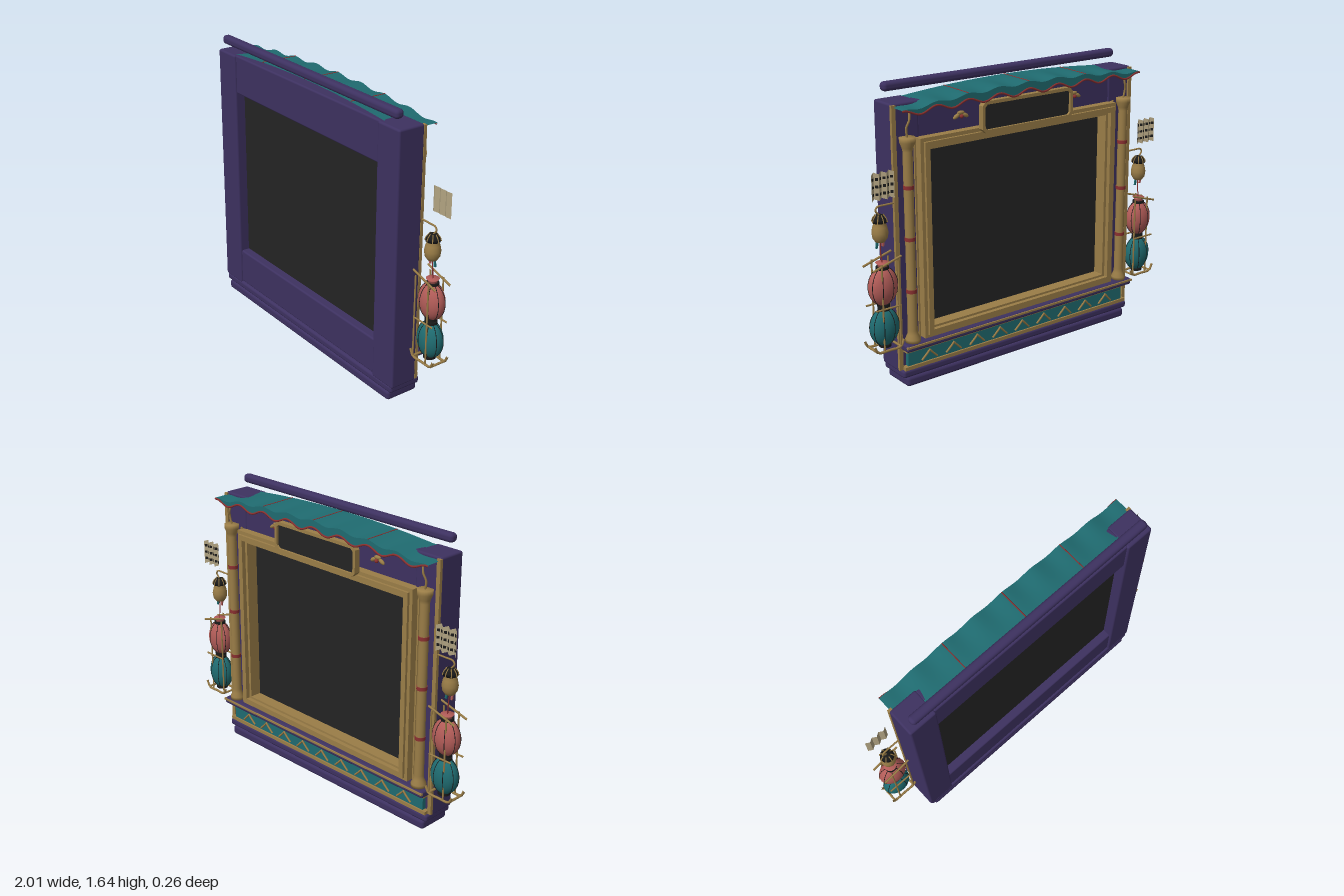
import * as THREE from 'three';
import { RoundedBoxGeometry } from 'three/addons/geometries/RoundedBoxGeometry.js';

const mat = (name, color, side = THREE.FrontSide) => {
  const m = new THREE.MeshStandardMaterial({ color, side });
  m.name = name;
  return m;
};

export function createModel() {
  const purple = mat('purple lacquer', 0x3d3160);
  const gold = mat('old gold', 0x9a7d47);
  const teal = mat('teal', 0x1f6b70, THREE.DoubleSide);
  const rose = mat('rose', 0xb25c58);
  const crimson = mat('crimson trim', 0x8a3030);
  const black = mat('black', 0x1a1a1a);
  const glass = mat('dark glass', 0x242424);
  const paperMat = mat('paper', 0xb3a583, THREE.DoubleSide);

  const root = new THREE.Group();
  root.name = 'festivalScreen';
  const V = (x, y, z) => new THREE.Vector3(x, y, z);

  const add = (name, geo, m, x = 0, y = 0, z = 0, parent = root) => {
    const mesh = new THREE.Mesh(geo, m);
    mesh.name = name;
    mesh.position.set(x, y, z);
    parent.add(mesh);
    return mesh;
  };
  // box given by its limits, with rounded edges when r > 0
  const box = (name, m, x0, x1, y0, y1, z0, z1, r = 0, parent = root) => {
    const s = [x1 - x0, y1 - y0, z1 - z0];
    const geo = r ? new RoundedBoxGeometry(...s, 3, r) : new THREE.BoxGeometry(...s);
    return add(name, geo, m, (x0 + x1) / 2, (y0 + y1) / 2, (z0 + z1) / 2, parent);
  };
  // smooth or straight rod through points
  const rod = (name, m, pts, r, parent = root, segs = 12) =>
    add(name, new THREE.TubeGeometry(new THREE.CatmullRomCurve3(pts), segs, r, 6), m, 0, 0, 0, parent);
  const lathe = (name, m, pts, x, y, z, parent = root) =>
    add(name, new THREE.LatheGeometry(pts.map(p => new THREE.Vector2(...p)), 20), m, x, y, z, parent);
  // rectangular frame with an open middle, extruded from z0 to z1
  const frame = (name, m, w, y0, y1, t, z0, z1, c = 0) => {
    const path = (P, a, b0, b1, k) => {
      P.moveTo(-a + k, b0); P.lineTo(a - k, b0); P.lineTo(a, b0 + k); P.lineTo(a, b1 - k);
      P.lineTo(a - k, b1); P.lineTo(-a + k, b1); P.lineTo(-a, b1 - k); P.lineTo(-a, b0 + k);
      P.closePath();
      return P;
    };
    const s = path(new THREE.Shape(), w, y0, y1, c + 0.001);
    s.holes.push(path(new THREE.Path(), w - t, y0 + t, y1 - t, c * 0.6 + 0.001));
    return add(name, new THREE.ExtrudeGeometry(s, { depth: z1 - z0, bevelEnabled: false }), m, 0, 0, z0);
  };

  // cabinet
  for (const s of [-1, 1])
    add('sideColumn', new RoundedBoxGeometry(0.17, 1.466, 0.162, 3, 0.012), purple, s * 0.736, 0.823, 0.045);
  box('topRail', purple, -0.66, 0.66, 1.327, 1.555, -0.03, 0.115, 0.01);
  box('bottomRail', purple, -0.66, 0.66, 0.1, 0.312, -0.03, 0.115, 0.01);
  box('screen', glass, -0.66, 0.66, 0.28, 1.34, 0.0, 0.065);
  box('upperPlinth', purple, -0.812, 0.812, 0.055, 0.1, -0.072, 0.126, 0.015);
  box('lowerPlinth', purple, -0.79, 0.79, 0, 0.057, -0.074, 0.126, 0.018);
  box('topBar', purple, -0.79, 0.79, 1.595, 1.645, 0.068, 0.12, 0.02);

  // stepped gold frame around the screen
  frame('outerScreenFrame', gold, 0.675, 0.255, 1.365, 0.035, -0.08, -0.025);
  frame('middleScreenFrame', gold, 0.655, 0.275, 1.345, 0.03, -0.095, -0.025);
  frame('innerScreenFrame', gold, 0.63, 0.295, 1.32, 0.022, -0.07, 0.0);

  // name board, left blank
  frame('boardRim', gold, 0.31, 1.34, 1.512, 0.018, -0.122, -0.088, 0.022);
  box('boardPanel', glass, -0.297, 0.297, 1.353, 1.5, -0.108, -0.095);
  for (const s of [-1, 1]) box('boardBracket', gold, s * 0.2 - 0.015, s * 0.2 + 0.015, 1.37, 1.4, -0.096, -0.03);

  // shelf and teal apron with gold chevrons
  box('shelf', purple, -0.81, 0.81, 0.22, 0.26, -0.112, -0.03, 0.012);
  box('shelfTrim', gold, -0.812, 0.812, 0.243, 0.254, -0.118, -0.105);
  box('apron', teal, -0.775, 0.775, 0.115, 0.215, -0.06, -0.03);
  box('apronUpperTrim', gold, -0.79, 0.79, 0.2, 0.212, -0.072, -0.03);
  box('apronLowerTrim', gold, -0.8, 0.8, 0.098, 0.118, -0.07, -0.03);
  for (let i = 0; i < 9; i++) {
    const x = (i - 4) * 0.16;
    rod('chevron', gold, [V(x - 0.05, 0.13, -0.063), V(x - 0.01, 0.17, -0.066), V(x, 0.182, -0.066),
      V(x + 0.01, 0.17, -0.066), V(x + 0.05, 0.13, -0.063)], 0.006);
  }

  // awning: arched sheet that ripples towards its hanging edge
  const ripple = x => Math.cos(x * Math.PI * 2 / 0.2);
  const roofY = (x, z) => {
    const t = (0.1 - z) / 0.225;
    return 1.588 - 0.045 * (x / 0.8) ** 2 - 0.012 * t + 0.008 * t * ripple(x);
  };
  const hemY = x => 1.53 - 0.012 * (x / 0.8) ** 2 + 0.015 * ripple(x);
  const sheet = new THREE.PlaneGeometry(1.62, 0.225, 96, 8).rotateX(-Math.PI / 2).translate(0, 0, -0.0125);
  const sp = sheet.attributes.position;
  for (let i = 0; i < sp.count; i++) sp.setY(i, roofY(sp.getX(i), sp.getZ(i)));
  sheet.computeVertexNormals();
  add('awningSheet', sheet, teal);
  const valance = new THREE.PlaneGeometry(1.62, 1, 96, 1);
  const vp = valance.attributes.position;
  for (let i = 0; i < vp.count; i++) {
    const x = vp.getX(i);
    vp.setXYZ(i, x, vp.getY(i) > 0 ? roofY(x, -0.125) : hemY(x), -0.125);
  }
  valance.computeVertexNormals();
  add('awningValance', valance, teal);
  const hem = [];
  for (let i = 0; i <= 80; i++) hem.push(V(-0.81 + i * 0.02025, hemY(-0.81 + i * 0.02025), -0.125));
  rod('awningHem', crimson, hem, 0.006, root, 160);
  for (const x of [-0.4, 0, 0.4])
    rod('awningSeam', crimson, [0.1, 0.03, -0.05, -0.125].map(z => V(x, roofY(x, z), z)), 0.003);

  for (const s of [-1, 1]) {
    // corner trim and poles
    box('cornerTrim', gold, s * 0.81 - 0.012, s * 0.81 + 0.012, 0.1, 1.55, -0.048, -0.03);
    box('innerTrim', gold, s * 0.685 - 0.005, s * 0.685 + 0.005, 0.26, 1.37, -0.045, -0.03);
    lathe('pole', gold, [[0, 0], [0.042, 0], [0.042, 0.02], [0.03, 0.045], [0.027, 0.07], [0.026, 0.56],
      [0.026, 1.05], [0.03, 1.07], [0.042, 1.1], [0.042, 1.125], [0, 1.125]], s * 0.745, 0.258, -0.065);
    for (const y of [0.55, 0.84, 1.12])
      add('poleBand', new THREE.CylinderGeometry(0.029, 0.029, 0.02, 20), crimson, s * 0.745, y, -0.065);
    rod('poleHook', gold, [V(s * 0.745, 1.38, -0.065), V(s * 0.752, 1.43, -0.07), V(s * 0.74, 1.47, -0.08),
      V(s * 0.73, 1.53, -0.07)], 0.006);

    // small floral ornament beside the board
    const flower = new THREE.Group();
    flower.name = 'floralOrnament';
    flower.position.set(s * 0.39, 1.44, -0.036);
    root.add(flower);
    for (const k of [-1, 0, 1]) {
      const leaf = add('leaf', new THREE.SphereGeometry(1, 10, 8), gold, k * 0.028, k ? -0.004 : 0.012, 0, flower);
      leaf.scale.set(0.024, 0.011, 0.01);
      leaf.rotation.z = k * -0.5;
    }
    add('bud', new THREE.SphereGeometry(0.011, 10, 8), crimson, 0, -0.006, -0.008, flower);

    // pair of paper lanterns in a rod cage
    const cage = new THREE.Group();
    cage.name = 'lanternStack';
    cage.position.set(s * 0.91, 0, -0.05);
    root.add(cage);
    for (const [name, m, y] of [['upperLantern', rose, 0.612], ['lowerLantern', teal, 0.385]]) {
      add(name, new THREE.SphereGeometry(1, 24, 16), m, 0, y, 0, cage).scale.set(0.083, 0.106, 0.06);
      for (let i = 0; i < 4; i++) {
        const rib = new THREE.TorusGeometry(1, 0.028, 5, 32).rotateY(i * Math.PI / 4 + 0.39);
        add('lanternRib', rib, black, 0, y, 0, cage).scale.set(0.083, 0.106, 0.06);
      }
      for (const e of [-1, 1])
        add('lanternCap', new THREE.CylinderGeometry(0.034, 0.034, 0.014, 16), black, 0, y + e * 0.103, 0, cage);
    }
    lathe('lanternCollar', rose, [[0, 0], [0.025, 0], [0.024, 0.015], [0.036, 0.028], [0, 0.028]], 0, 0.715, 0, cage);
    for (const x of [-0.07, 0.03])
      for (const z of [-0.045, 0.055])
        rod('cageUpright', gold, [V(s * x, 0.265, z), V(s * x, 0.75, z)], 0.005, cage, 1);
    for (const z of [-0.045, 0.055]) {
      rod('cageTop', gold, [V(s * 0.085, 0.72, z), V(s * -0.09, 0.772, z)], 0.006, cage, 1);
      rod('cageMiddle', gold, [V(0.075, 0.5, z), V(-0.075, 0.5, z)], 0.005, cage, 1);
      rod('cageFoot', gold, [V(0.09, 0.305, z), V(0.07, 0.268, z), V(0, 0.265, z), V(-0.07, 0.268, z),
        V(-0.09, 0.305, z)], 0.007, cage);
    }
    for (const x of [-0.07, 0.07])
      rod('cageCrossbar', gold, [V(x, 0.268, -0.05), V(x, 0.268, 0.06)], 0.007, cage, 1);

    // hanging gourd bell with ribbons
    const bell = new THREE.Group();
    bell.name = 'gourdBell';
    bell.position.set(s * 0.91, 0, -0.04);
    root.add(bell);
    lathe('gourd', gold, [[0, 0.85], [0.025, 0.853], [0.04, 0.875], [0.044, 0.905], [0.038, 0.935],
      [0.03, 0.955], [0.034, 0.965], [0, 0.967]], 0, 0, 0, bell);
    lathe('gourdCap', black, [[0, 0.958], [0.039, 0.958], [0.036, 0.975], [0.022, 0.996], [0, 1.0]], 0, 0, 0, bell);
    for (let i = 0; i < 8; i++) {
      const a = i * Math.PI / 4, c = Math.cos(a), d = Math.sin(a);
      rod('capRib', gold, [V(0.041 * c, 0.96, 0.041 * d), V(0.037 * c, 0.977, 0.037 * d),
        V(0.02 * c, 0.999, 0.02 * d)], 0.003, bell, 4);
    }
    rod('bellArm', gold, [V(s * -0.1, 1.043, 0), V(s * -0.04, 1.043, 0), V(s * 0.012, 1.04, 0),
      V(s * 0.022, 1.022, 0), V(0, 0.995, 0)], 0.005, bell, 20);
    box('roseRibbon', rose, -0.023, -0.011, 0.825, 0.865, -0.004, 0.004, 0, bell).rotation.z = 0.15;
    box('tealRibbon', teal, 0.014, 0.026, 0.82, 0.865, -0.004, 0.004, 0, bell).rotation.z = 0.15;
    rod('tassel', crimson, [V(0, 0.855, 0), V(0.003, 0.8, -0.003), V(0, 0.74, -0.01)], 0.003, bell, 6);

    // pleated paper banner with plain painted dashes on its back
    const banner = new THREE.Group();
    banner.name = 'paperBanner';
    banner.position.set(s * 0.912, 1.162, -0.082);
    root.add(banner);
    const pleat = new THREE.PlaneGeometry(0.134, 0.14, 6, 1);
    const pp = pleat.attributes.position;
    for (let i = 0; i < pp.count; i++) {
      const odd = (i % 7) % 2;
      pp.setZ(i, odd ? 0.008 : -0.008);
      pp.setY(i, pp.getY(i) + (odd ? 0.004 : -0.004));
    }
    const flat = pleat.toNonIndexed();
    flat.computeVertexNormals();
    add('pleatedSheet', flat, paperMat, 0, 0, 0, banner);
    for (let i = 0; i < 6; i++)
      for (const y of [-0.04, 0, 0.04]) {
        const dash = add('paintedDash', new THREE.BoxGeometry(0.015, 0.014, 0.003), black,
          (i - 2.5) * 0.0223, y, -0.003, banner);
        dash.rotation.y = (i % 2 ? 1 : -1) * 0.62;
      }
  }
  return root;
}
